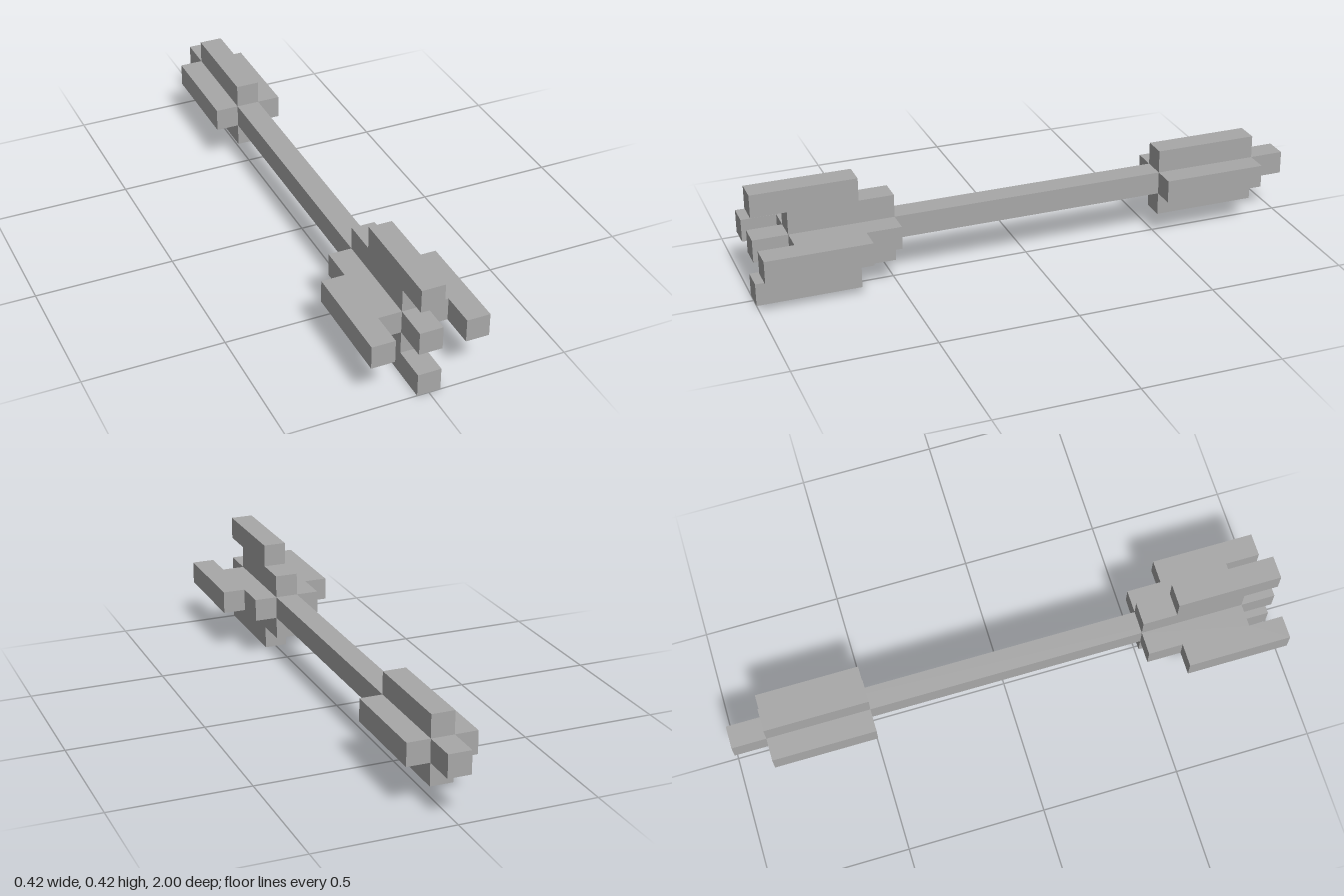
import * as THREE from 'three';

const U = 1 / 12; // one block

export function createModel() {
  const group = new THREE.Group();
  const grey = new THREE.MeshStandardMaterial({ color: 0xa8a8a8 });
  grey.name = 'grey';

  // Flat blade one block thick, outlined in blocks as [distance from axis, z]
  const blade = (points) => {
    const shape = new THREE.Shape(points.map(([r, z]) => new THREE.Vector2(r * U, z * U)));
    const geometry = new THREE.ExtrudeGeometry(shape, { depth: U, bevelEnabled: false });
    return geometry.translate(0, 0, -U / 2).rotateX(Math.PI / 2);
  };

  const add = (name, geometry, angle = 0) => {
    const mesh = new THREE.Mesh(geometry, grey);
    mesh.name = name;
    mesh.position.y = 2.5 * U;
    mesh.rotation.z = angle;
    group.add(mesh);
  };

  // Square shaft running the whole length
  add('shaft', new THREE.BoxGeometry(U, U, 24 * U));

  // Stepped tail fins with a prong at the outer edge
  const fin = blade([
    [0.5, 6], [1.5, 6], [1.5, 7.5], [2.5, 7.5],
    [2.5, 12], [1.5, 12], [1.5, 10.5], [0.5, 10.5],
  ]);
  // Plain ribs around the head
  const rib = blade([[0.5, -10.5], [1.5, -10.5], [1.5, -6], [0.5, -6]]);

  // Four of each around the shaft
  ['left', 'top', 'right', 'bottom'].forEach((side, i) => {
    add(side + 'TailFin', fin, (i * Math.PI) / 2);
    add(side + 'HeadRib', rib, (i * Math.PI) / 2);
  });

  return group;
}
